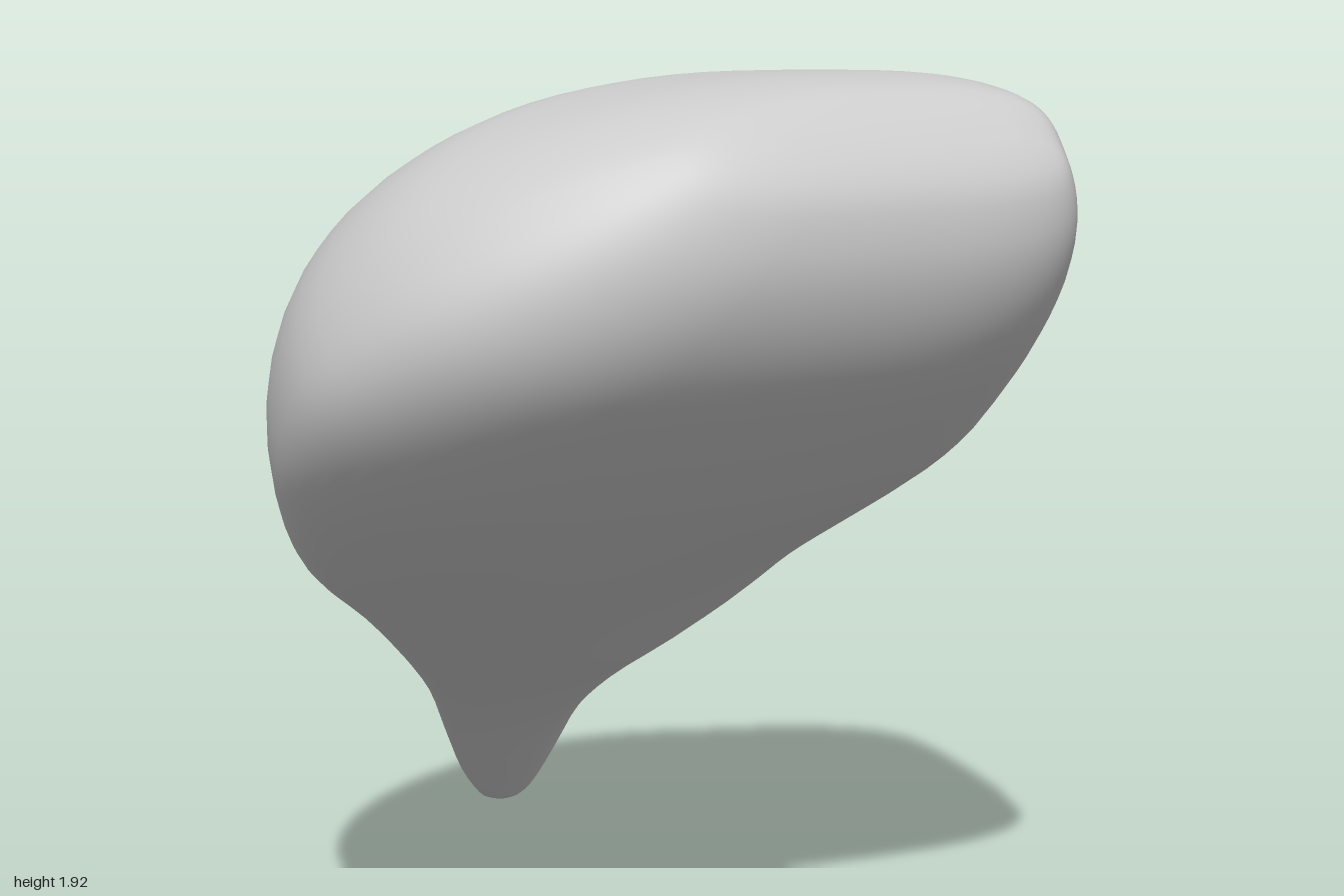
import * as THREE from 'three';

// Cross-sections along the slanted axis, from the narrow tip to the broad end:
// [axis position, low x edge, high x edge, depth of low edge, depth of high edge, underside, top]
const SECTIONS = [
  [-0.69, 0.11, 0.20, 0.62, 0.71, 0.61, 0.72],
  [-0.65, 0.07, 0.26, 0.62, 0.78, 0.60, 0.79],
  [-0.52, -0.01, 0.305, 0.63, 0.85, 0.60, 0.90],
  [-0.30, -0.11, 0.335, 0.64, 0.87, 0.60, 1.00],
  [-0.10, -0.20, 0.41, 0.65, 0.86, 0.58, 1.085],
  [0.12, -0.33, 0.54, 0.65, 0.85, 0.54, 1.17],
  [0.35, -0.49, 0.67, 0.66, 0.88, 0.50, 1.235],
  [0.60, -0.67, 0.77, 0.64, 0.94, 0.455, 1.265],
  [0.85, -0.78, 0.82, 0.64, 0.98, 0.415, 1.30],
  [1.08, -0.83, 0.83, 0.66, 0.98, 0.385, 1.31],
  [1.30, -0.815, 0.80, 0.68, 0.95, 0.38, 1.275],
  [1.50, -0.71, 0.765, 0.70, 0.87, 0.39, 1.21],
  [1.65, -0.56, 0.74, 0.72, 0.78, 0.43, 1.10],
  [1.77, -0.38, 0.715, 0.73, 0.74, 0.50, 1.00],
  [1.85, -0.21, 0.68, 0.73, 0.73, 0.59, 0.91],
  [1.88, -0.09, 0.64, 0.74, 0.74, 0.66, 0.85],
  [1.89, 0.06, 0.56, 0.75, 0.75, 0.72, 0.79],
];
const SIDES = 72, STEPS = 3;

// Smooth interpolation between neighbouring sections
function sectionAt(f) {
  const last = SECTIONS.length - 1;
  const i = Math.min(Math.floor(f), last - 1), t = f - i;
  const row = (k) => SECTIONS[THREE.MathUtils.clamp(k, 0, last)];
  return row(i).map((b, k) => {
    const a = row(i - 1)[k], c = row(i + 1)[k], d = row(i + 2)[k];
    return b + 0.5 * t * (c - a + t * (2 * a - 5 * b + 4 * c - d + t * (3 * (b - c) + d - a)));
  });
}

// Axis and depth are tilted in the y-z plane
const place = (x, u, v) => [x, 0.66 * u + 0.75 * v, 0.75 * u - 0.66 * v];

// Lopsided rounded section: the crown leans to +x, the belly to -x,
// and the +x side squares off into a flat flank towards the broad end
function ringPoint([u, x0, x1, v0, v1, bottom, top], angle) {
  const c = Math.cos(angle), s = Math.sin(angle);
  const upper = s > 0;
  const flank = THREE.MathUtils.smoothstep(u, 0.4, 1.6);
  const peak = upper ? 0.6 : 0.38;
  const fullness = upper ? (c < 0 ? 2 : 2.4 + 0.8 * flank) : (c < 0 ? 2.5 : 2 + 2.4 * flank);
  const across = Math.abs(c) ** (2 / fullness), rise = Math.abs(s) ** (2 / fullness);
  const side = c < 0 ? peak * (1 - across) : peak + (1 - peak) * across;
  const v = THREE.MathUtils.lerp(THREE.MathUtils.lerp(v0, v1, side), upper ? top : bottom, rise);
  return place(THREE.MathUtils.lerp(x0, x1, side), u, v);
}

function bodyGeometry() {
  const positions = [], index = [];
  const rings = (SECTIONS.length - 1) * STEPS + 1;
  for (let i = 0; i < rings; i++) {
    const section = sectionAt(i / STEPS);
    for (let j = 0; j < SIDES; j++) positions.push(...ringPoint(section, (j / SIDES) * Math.PI * 2));
  }
  for (let i = 0; i < rings - 1; i++) {
    for (let j = 0; j < SIDES; j++) {
      const a = i * SIDES + j, b = i * SIDES + ((j + 1) % SIDES);
      index.push(a, b, b + SIDES, a, b + SIDES, a + SIDES);
    }
  }
  // Close both ends with fans
  for (const end of [0, rings - 1]) {
    const [u, x0, x1, , , bottom, top] = sectionAt(end / STEPS);
    const centre = positions.length / 3;
    positions.push(...place((x0 + x1) / 2, u + (end ? 0.002 : -0.005), (bottom + top) / 2));
    for (let j = 0; j < SIDES; j++) {
      const a = end * SIDES + j, b = end * SIDES + ((j + 1) % SIDES);
      if (end) index.push(centre, a, b);
      else index.push(centre, b, a);
    }
  }
  const geometry = new THREE.BufferGeometry();
  geometry.setAttribute('position', new THREE.Float32BufferAttribute(positions, 3));
  geometry.setIndex(index);
  geometry.computeVertexNormals();
  return geometry;
}

export function createModel() {
  const group = new THREE.Group();
  group.name = 'taperedStone';
  const body = new THREE.Mesh(bodyGeometry(), new THREE.MeshStandardMaterial({ color: 0xcccccc }));
  body.name = 'body';
  group.add(body);
  return group;
}
